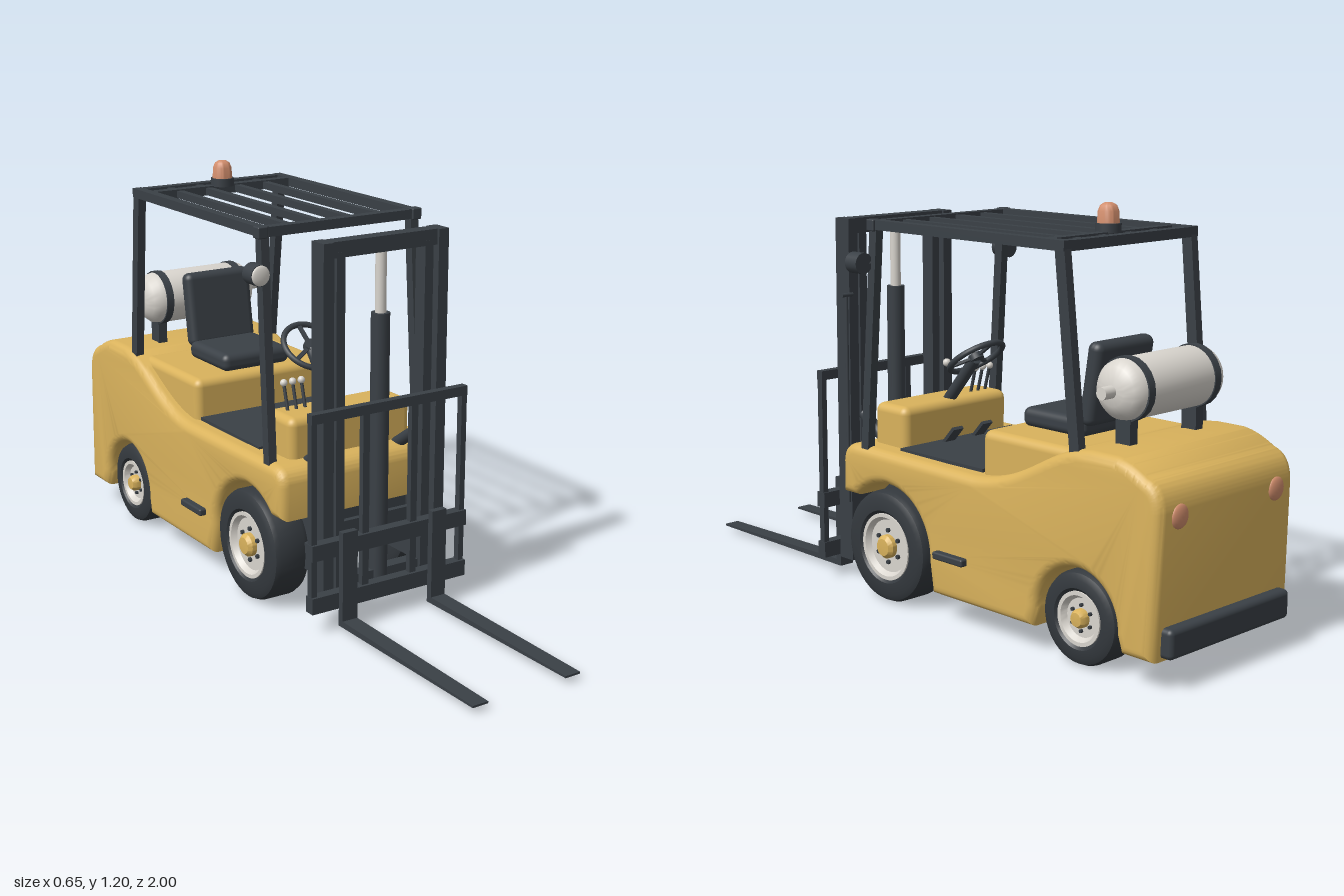
import * as THREE from 'three';
import { toCreasedNormals } from 'three/addons/utils/BufferGeometryUtils.js';
import { RoundedBoxGeometry } from 'three/addons/geometries/RoundedBoxGeometry.js';

const mat = (name, color) => Object.assign(new THREE.MeshStandardMaterial({ color }), { name });

export function createModel() {
  const root = new THREE.Group();
  root.name = 'forklift';
  const yellow = mat('yellow paint', 0xd9b25c);
  const dark = mat('dark frame', 0x3a4046);
  const rubber = mat('black rubber', 0x33383d);
  const pale = mat('pale metal', 0xd9d5ce);
  const orange = mat('orange lens', 0xd28e6d);

  // Helpers
  const add = (name, geo, m, x = 0, y = 0, z = 0, parent = root) => {
    const mesh = new THREE.Mesh(geo, m);
    mesh.name = name;
    mesh.position.set(x, y, z);
    parent.add(mesh);
    return mesh;
  };
  // Box given by its limits on each axis
  const box = (name, m, x0, x1, y0, y1, z0, z1, r = 0) => {
    const s = [x1 - x0, y1 - y0, z1 - z0];
    const geo = r ? new RoundedBoxGeometry(...s, 4, r) : new THREE.BoxGeometry(...s);
    return add(name, geo, m, (x0 + x1) / 2, (y0 + y1) / 2, (z0 + z1) / 2);
  };
  // Bar between two points: square if d is given, otherwise round
  const bar = (name, m, a, b, w, d) => {
    const p = new THREE.Vector3(...a), q = new THREE.Vector3(...b);
    const len = p.distanceTo(q);
    const geo = d ? new THREE.BoxGeometry(w, len, d) : new THREE.CylinderGeometry(w, w, len, 20);
    const mesh = add(name, geo, m);
    mesh.position.copy(p).add(q).multiplyScalar(0.5);
    mesh.quaternion.setFromUnitVectors(new THREE.Vector3(0, 1, 0), q.sub(p).normalize());
    return mesh;
  };
  const lathe = pts => toCreasedNormals(
    new THREE.LatheGeometry(pts.map(p => new THREE.Vector2(...p)), 40), 0.7);
  const sides = [-1, 1];

  // Body: side outline with both wheel arches, extruded across the width
  const s = new THREE.Shape();
  s.moveTo(0.25, 0.3);
  s.lineTo(0.252, 0.4);
  s.quadraticCurveTo(0.25, 0.455, 0.19, 0.455);
  s.lineTo(-0.3, 0.448);
  s.bezierCurveTo(-0.48, 0.455, -0.57, 0.565, -0.69, 0.587);
  s.lineTo(-0.73, 0.592);
  s.lineTo(-0.82, 0.592);
  s.quadraticCurveTo(-0.87, 0.587, -0.92, 0.555);
  s.quadraticCurveTo(-0.975, 0.54, -0.978, 0.47);
  s.lineTo(-0.965, 0.08);
  s.lineTo(-0.86, 0.08);
  s.absarc(-0.7, 0.13, 0.142, Math.PI, 0, true);
  s.lineTo(-0.545, 0.075);
  s.lineTo(-0.148, 0.075);
  s.absarc(0.055, 0.17, 0.185, Math.PI, 0.78, true);
  s.closePath();
  const bevel = 0.03, bodyW = 0.584;
  let body = new THREE.ExtrudeGeometry(s, {
    depth: bodyW - 2 * bevel, bevelThickness: bevel, bevelSize: bevel, bevelOffset: -bevel,
    bevelSegments: 5, curveSegments: 24,
  });
  body.translate(0, 0, bevel - bodyW / 2).rotateY(-Math.PI / 2);
  const bp = body.attributes.position;
  for (let i = 0; i < bp.count; i++) {
    bp.setX(i, bp.getX(i) * (1 - 0.09 * (bp.getY(i) - 0.08))); // sides lean inward
  }
  add('body', toCreasedNormals(body, 0.6), yellow);

  box('cowl', yellow, -0.21, 0.21, 0.4, 0.575, 0.045, 0.185, 0.025);
  box('engineCover', yellow, -0.24, 0.24, 0.4, 0.575, -0.66, -0.305, 0.025);
  box('floorMat', dark, -0.23, 0.23, 0.45, 0.46, -0.3, 0.045);
  box('frontAxle', dark, -0.17, 0.17, 0.15, 0.33, -0.12, 0.22);
  box('rearAxle', dark, -0.15, 0.15, 0.08, 0.25, -0.83, -0.57);
  box('rearBumper', dark, -0.25, 0.25, 0.088, 0.17, -1, -0.95, 0.015);

  // Wheels: tyre, dished rim, hub cap and bolts, axis turned to point outward
  const wheel = (name, side, z, r, rim, x, w) => {
    const g = new THREE.Group();
    g.name = name;
    g.position.set(side * x, r + 0.003, z);
    g.rotation.z = -side * Math.PI / 2;
    const h = w / 2, c = 0.022;
    add('tyre', lathe([[rim, -h + 0.012], [rim + 0.012, -h], [r - c, -h], [r - 0.006, -h + 0.008],
      [r, -h + c], [r, h - c], [r - 0.006, h - 0.008], [r - c, h], [rim + 0.012, h], [rim, h - 0.012]]),
      rubber, 0, 0, 0, g);
    add('rim', lathe([[0, -h + 0.01], [rim + 0.003, -h + 0.01], [rim + 0.003, h - 0.004], [rim - 0.008, h - 0.004],
      [rim - 0.018, h - 0.02], [0, h - 0.02]]), pale, 0, 0, 0, g);
    add('hub', lathe([[rim * 0.36, h - 0.025], [rim * 0.36, h - 0.005], [rim * 0.26, h + 0.006], [0, h + 0.008]]),
      yellow, 0, 0, 0, g);
    for (let i = 0; i < 6; i++) {
      const a = i * Math.PI / 3;
      add('bolt', new THREE.CylinderGeometry(rim * 0.07, rim * 0.07, 0.01, 6), dark,
        Math.cos(a) * rim * 0.5, h - 0.017, Math.sin(a) * rim * 0.5, g);
    }
    root.add(g);
  };

  for (const k of sides) {
    wheel('frontWheel', k, 0.055, 0.167, 0.097, 0.225, 0.125);
    wheel('rearWheel', k, -0.7, 0.13, 0.072, 0.215, 0.115);

    // Steps and tail lamps
    const step = box('step', dark, -0.025, 0.025, 0.19, 0.212, -0.297, -0.175, 0.006);
    step.position.x = k * 0.285;
    const tail = add('tailLamp', new THREE.SphereGeometry(0.033, 24, 12), orange, k * 0.2, 0.455, -0.976);
    tail.scale.z = 0.35;

    // Guard posts, roof rails and headlamps
    bar('frontPost', dark, [k * 0.26, 0.44, 0.155], [k * 0.255, 1.11, 0.112], 0.026, 0.03);
    bar('rearPost', dark, [k * 0.25, 0.56, -0.675], [k * 0.255, 1.11, -0.617], 0.026, 0.034);
    bar('roofRail', dark, [k * 0.255, 1.11, 0.125], [k * 0.255, 1.11, -0.635], 0.03, 0.028);
    const cap = box('railCap', dark, -0.016, 0.016, 1.092, 1.126, 0.1, 0.132, 0.004);
    cap.position.x = k * 0.262;
    bar('lampBracket', dark, [k * 0.25, 1, 0.12], [k * 0.295, 1, 0.14], 0.01, 0.015);
    bar('lampHousing', dark, [k * 0.295, 1, 0.122], [k * 0.295, 1, 0.17], 0.031);
    const lens = add('lampLens', new THREE.SphereGeometry(0.029, 24, 12), pale, k * 0.295, 1, 0.17);
    lens.scale.z = 0.3;
    for (const x of [0.155, 0.053]) {
      bar('roofSlat', dark, [k * x, 1.108, 0.11], [k * x, 1.108, -0.615], 0.022, 0.022);
    }

    // Mast rails, tilt cylinders and lower mounts
    bar('outerMastRail', dark, [k * 0.192, 0.06, 0.323], [k * 0.192, 1.11, 0.323], 0.034, 0.06);
    bar('innerMastRail', dark, [k * 0.148, 0.08, 0.323], [k * 0.148, 1.08, 0.323], 0.028, 0.045);
    bar('tiltCylinder', dark, [k * 0.155, 0.43, 0.17], [k * 0.155, 0.515, 0.295], 0.018);
    bar('mastMount', dark, [k * 0.155, 0.17, 0.2], [k * 0.155, 0.17, 0.3], 0.06, 0.08);

    // Load backrest uprights
    bar('backrestSide', dark, [k * 0.257, 0.07, 0.37], [k * 0.257, 0.65, 0.37], 0.018, 0.02);
    bar('backrestUpright', dark, [k * 0.083, 0.09, 0.37], [k * 0.083, 0.64, 0.37], 0.022, 0.018);

    // Fork: shank and tapered tine
    const fork = new THREE.Shape([[0.388, 0.015], [1, 0.02], [1, 0.026], [0.408, 0.034], [0.408, 0.3], [0.388, 0.3]]
      .map(p => new THREE.Vector2(...p)));
    const forkGeo = new THREE.ExtrudeGeometry(fork, { depth: 0.05, bevelEnabled: false });
    forkGeo.translate(0, 0, -0.025).rotateY(-Math.PI / 2);
    add('fork', forkGeo, dark, k * 0.155);

    // Tank straps and cradle legs
    bar('tankStrap', dark, [k * 0.135 - 0.012, 0.738, -0.74], [k * 0.135 + 0.012, 0.738, -0.74], 0.087);
    bar('tankLeg', dark, [k * 0.135, 0.57, -0.74], [k * 0.135, 0.68, -0.74], 0.03, 0.05);

    // Pedals
    bar('pedal', dark, [k * 0.06, 0.455, 0.025], [k * 0.06, 0.505, -0.02], 0.04, 0.01);
  }

  // Roof cross members and beacon
  for (const z of [0.112, -0.553, -0.62]) {
    box('roofCrossbar', dark, -0.255, 0.255, 1.095, 1.123, z - 0.015, z + 0.015);
  }
  bar('beaconBase', dark, [0, 1.12, -0.545], [0, 1.145, -0.545], 0.036);
  add('beacon', lathe([[0.031, 0], [0.029, 0.035], [0.023, 0.05], [0.012, 0.057], [0, 0.058]]),
    orange, 0, 1.142, -0.545);

  // Mast cross members, lift cylinder and hose
  box('mastTop', dark, -0.208, 0.208, 1.065, 1.11, 0.3, 0.345);
  box('mastFoot', dark, -0.19, 0.19, 0.08, 0.13, 0.295, 0.335);
  box('mastBrace', dark, -0.19, 0.19, 0.22, 0.29, 0.293, 0.31);
  bar('liftCylinder', dark, [0, 0.09, 0.322], [0, 0.89, 0.322], 0.027);
  bar('liftRod', pale, [0, 0.88, 0.322], [0, 1.07, 0.322], 0.016);
  bar('hose', dark, [0.223, 0.25, 0.29], [0.223, 0.885, 0.29], 0.005);
  bar('hoseFitting', dark, [0.2, 0.885, 0.29], [0.24, 0.885, 0.29], 0.006);

  // Carriage
  box('carriageUpper', dark, -0.268, 0.268, 0.225, 0.272, 0.355, 0.388);
  box('carriageLower', dark, -0.268, 0.268, 0.067, 0.115, 0.355, 0.388);
  box('backrestTop', dark, -0.266, 0.266, 0.622, 0.65, 0.358, 0.382);

  // Seat
  box('seatCushion', dark, -0.12, 0.12, 0.572, 0.628, -0.57, -0.34, 0.022);
  const back = box('seatBack', dark, -0.117, 0.117, 0.605, 0.84, -0.61, -0.56, 0.022);
  back.rotation.x = -0.15;

  // Steering column, wheel, spokes and spinner knob
  bar('steeringColumn', dark, [0, 0.56, 0.09], [0, 0.705, -0.03], 0.018);
  const steer = new THREE.Group();
  steer.name = 'steeringWheel';
  steer.position.set(0, 0.712, -0.035);
  steer.rotation.x = 0.64;
  add('steeringRim', new THREE.TorusGeometry(0.085, 0.009, 12, 40).rotateX(Math.PI / 2), dark, 0, 0, 0, steer);
  add('steeringHub', new THREE.CylinderGeometry(0.022, 0.022, 0.018, 20), dark, 0, 0, 0, steer);
  for (let i = 0; i < 3; i++) {
    const a = Math.PI / 2 + i * Math.PI * 2 / 3;
    const spoke = add('spoke', new THREE.BoxGeometry(0.08, 0.008, 0.012), dark,
      Math.cos(a) * 0.042, 0, -Math.sin(a) * 0.042, steer);
    spoke.rotation.y = a;
  }
  add('spinnerKnob', new THREE.SphereGeometry(0.012, 16, 12), pale, 0.065, 0.022, 0.055, steer);
  root.add(steer);

  // Control levers
  for (const x of [-0.165, -0.135, -0.105]) {
    bar('lever', dark, [x, 0.565, 0.1], [x, 0.648, 0.078], 0.005);
    add('leverKnob', new THREE.SphereGeometry(0.011, 16, 12), pale, x, 0.652, 0.077);
  }

  // Gas tank lying across the rear, with its valve
  const tank = add('gasTank', lathe([[0, -0.2], [0.04, -0.196], [0.064, -0.183], [0.078, -0.165], [0.083, -0.14],
    [0.083, 0.14], [0.078, 0.165], [0.064, 0.183], [0.04, 0.196], [0, 0.2]]), pale, 0, 0.738, -0.74);
  tank.rotation.z = -Math.PI / 2;
  bar('tankValve', pale, [0.19, 0.738, -0.74], [0.237, 0.738, -0.74], 0.017);

  return root;
}
